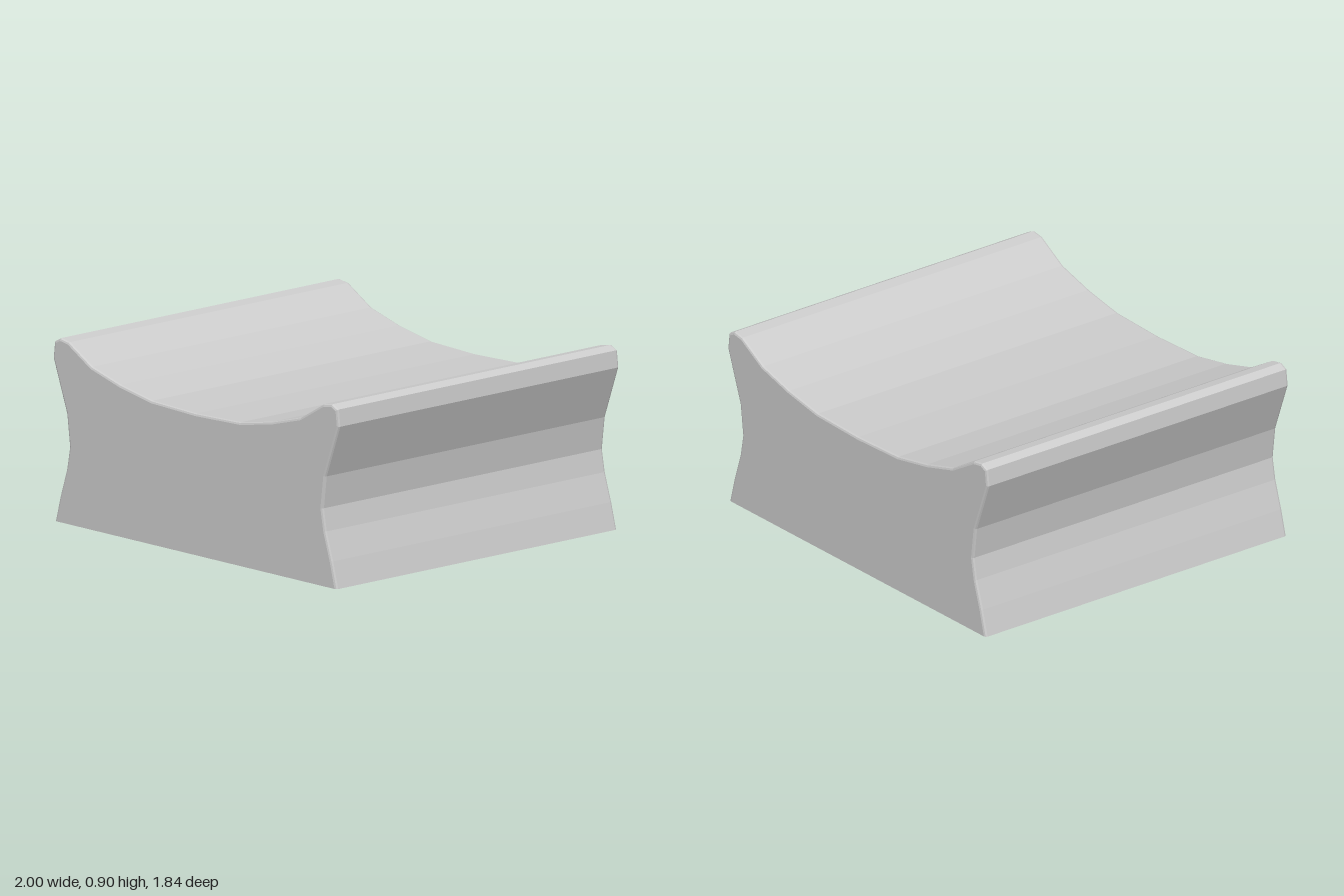
import * as THREE from 'three';

export function createModel() {
  const group = new THREE.Group();
  const material = new THREE.MeshStandardMaterial({ color: 0xcccccc, flatShading: true });

  // Half of the cross-section: waisted side, rounded horn, dished top
  const half = [
    [0.985, 0], [0.95, 0.13], [0.905, 0.27], [0.885, 0.38], [0.905, 0.54],
    [1, 0.8], [0.99, 0.883], [0.95, 0.903], [0.89, 0.893],
    [0.73, 0.8], [0.53, 0.745], [0.31, 0.705],
  ];
  const mirrored = half.map(([x, y]) => [-x, y]).reverse();
  const outline = [...half, [0, 0.695], ...mirrored].map(([x, y]) => new THREE.Vector2(x, y));

  // Block with slightly softened end edges
  const length = 1.84, bevel = 0.012;
  const geometry = new THREE.ExtrudeGeometry(new THREE.Shape(outline), {
    depth: length - 2 * bevel,
    bevelThickness: bevel,
    bevelSize: bevel,
    bevelOffset: -bevel,
    bevelSegments: 2,
  });
  geometry.translate(0, 0, bevel - length / 2);

  // Keep the base flat and sharp where the ends are bevelled
  const position = geometry.attributes.position;
  for (let i = 0; i < position.count; i++) {
    if (position.getY(i) < 0.03) position.setY(i, 0);
  }
  geometry.computeVertexNormals();

  const block = new THREE.Mesh(geometry, material);
  block.name = 'dishedBlock';
  group.add(block);
  return group;
}
